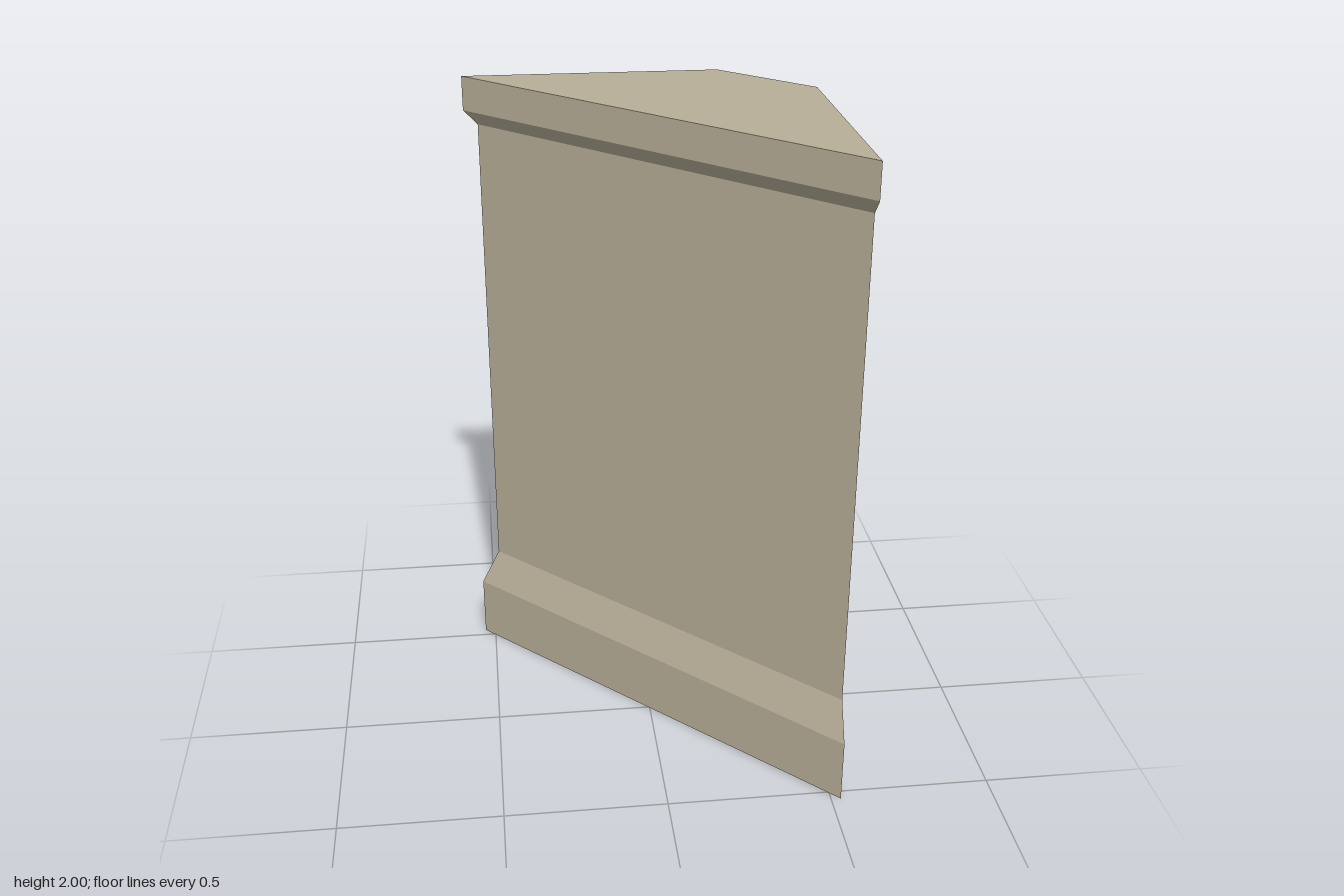
import * as THREE from 'three';

const S = 0.53;   // outer side of the plan
const C = 0.27;   // start of the cut corner

// Plan outline at a height: the diagonal front runs between the points set by reach
const outline = ([y, reach]) => [
  [-reach, y, -S], [C, y, -S], [S, y, -C], [S, y, reach],
].map((p) => new THREE.Vector3(...p));

// Joins outlines from bottom to top, with optional end caps
function section(name, profile, material, { bottom = false, top = false } = {}) {
  const rings = profile.map(outline);
  const points = [];
  for (let k = 0; k < rings.length - 1; k++) {
    const lo = rings[k], hi = rings[k + 1];
    for (let i = 0; i < 4; i++) {
      const j = (i + 1) % 4;
      points.push(lo[i], hi[j], lo[j], lo[i], hi[i], hi[j]);
    }
  }
  if (bottom) {
    const [a, b, c, d] = rings[0];
    points.push(a, b, c, a, c, d);
  }
  if (top) {
    const [a, b, c, d] = rings[rings.length - 1];
    points.push(a, c, b, a, d, c);
  }
  const geometry = new THREE.BufferGeometry().setFromPoints(points);
  geometry.computeVertexNormals(); // unshared corners give flat faces
  const mesh = new THREE.Mesh(geometry, material);
  mesh.name = name;
  return mesh;
}

export function createModel() {
  const stone = new THREE.MeshStandardMaterial({ color: 0xb8af99 });
  stone.name = 'stone';

  const group = new THREE.Group();
  group.name = 'cornerPillar';
  group.add(
    // Plinth with a sloped upper edge
    section('plinth', [[0, 0.535], [0.205, 0.535], [0.325, 0.475]], stone, { bottom: true }),
    // Plain shaft
    section('shaft', [[0.325, 0.475], [1.85, 0.475]], stone),
    // Projecting cap with a sloped underside
    section('cap', [[1.85, 0.475], [1.895, 0.518], [2, 0.518]], stone, { top: true }),
  );
  return group;
}
